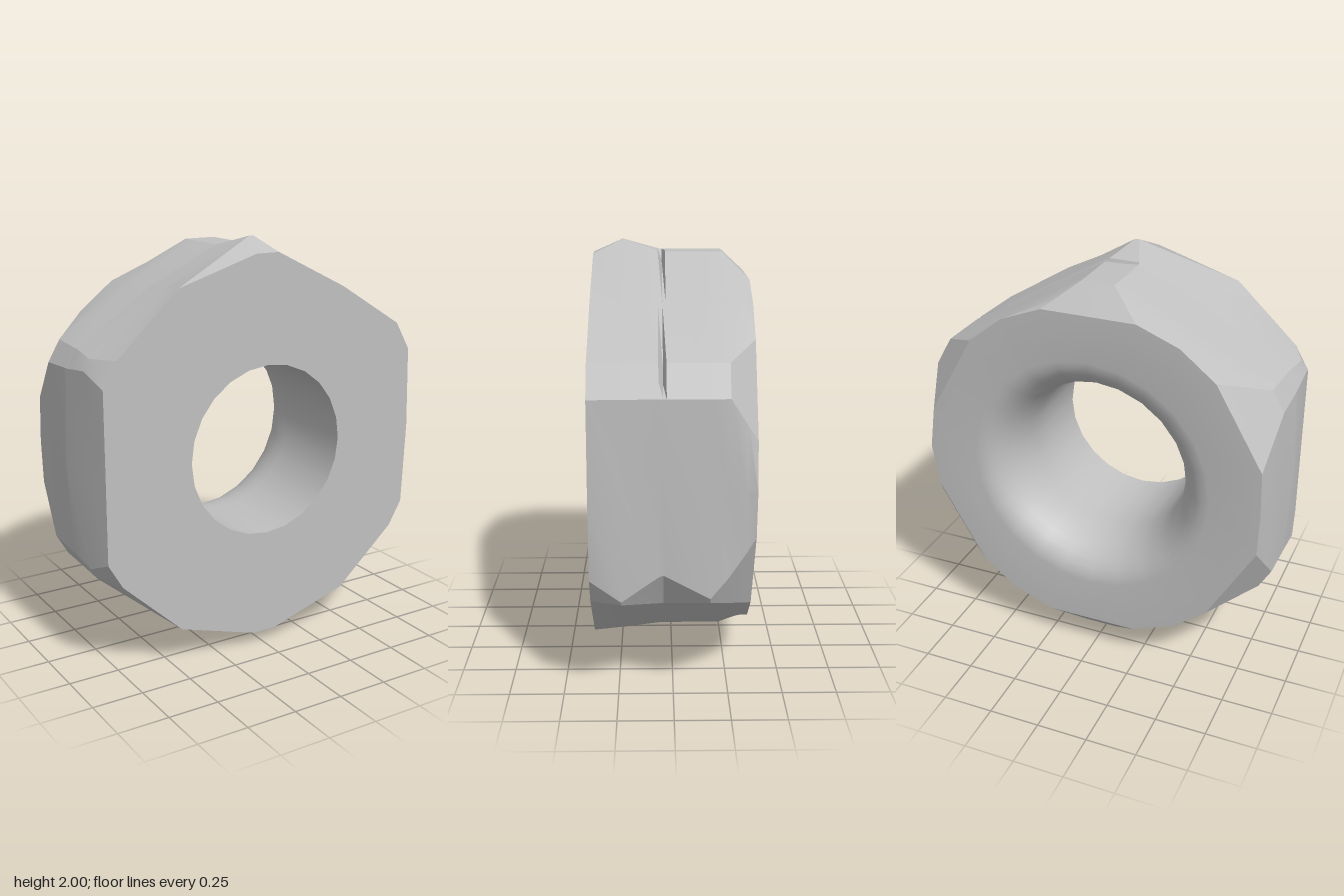
import * as THREE from 'three';
import { toCreasedNormals } from 'three/addons/utils/BufferGeometryUtils.js';

const rad = THREE.MathUtils.degToRad;

// Corner shapes along the depth: [z, reach from the axis, half width of the cut]
const PEAK = [[0.37, 0.935, 0.06], [0.23, 1, 0.01], [0.05, 0.945, 0.08], [-0.24, 0.945, 0.08], [-0.36, 0.83, 0.23]];
const BLUNT = [[0.37, 0.94, 0.08], [0.05, 0.95, 0.08], [-0.24, 0.95, 0.08], [-0.36, 0.83, 0.23]];
const WORN = [[0.37, 0.93, 0.07], [0.23, 0.98, 0.03], [0.05, 0.97, 0.05], [-0.15, 0.97, 0.05], [-0.36, 0.83, 0.23]];
const DENTED = [[0.37, 0.94, 0.07], [0.23, 1.01, 0.01], [0.05, 0.93, 0.1], [-0.17, 1, 0.01], [-0.32, 0.87, 0.18], [-0.36, 0.83, 0.23]];
const CORNERS = [BLUNT, PEAK, WORN, WORN, PEAK, DENTED]; // at 30, 90, ... 330 degrees

// Middle of the face before each corner: [z, radius]
const FLAT = [[0.37, 0.866], [-0.36, 0.866]];
const BULGED = [[0.37, 0.935], [0.05, 0.89], [-0.36, 0.866]];
const RIDGED = [[0.37, 0.84], [0.05, 0.89], [-0.36, 0.84]];
const MIDDLES = [FLAT, FLAT, BULGED, RIDGED, BULGED, BULGED];

// Linear lookup of one column in a table with falling z
function lookup(table, z, column) {
  const i = Math.max(1, table.findIndex(row => row[0] <= z));
  const a = table[i - 1], b = table[i];
  return a[column] + (b[column] - a[column]) * (a[0] - z) / (a[0] - b[0]);
}

// Point given by its reach along a direction and its sideways offset
function point(deg, reach, side, z) {
  const c = Math.cos(rad(deg)), s = Math.sin(rad(deg));
  return [reach * c - side * s, 1 + reach * s + side * c, z];
}

// Worn hexagon of 24 points; the groove lowers both ends of the upper right face
function outline(z, groove = 0) {
  const points = [];
  for (let k = 0; k < 6; k++) {
    const deg = 30 + 60 * k;
    const dip = k < 2 ? groove : 0;
    const reach = lookup(CORNERS[k], z, 1), width = lookup(CORNERS[k], z, 2);
    points.push(point(deg - 30, lookup(MIDDLES[k], z, 1), 0, z));
    points.push(point(deg, reach - (k === 1 ? dip : 0), -width, z));
    points.push(point(deg, reach - dip, 0, z));
    points.push(point(deg, reach - (k === 0 ? dip : 0), width, z));
  }
  return points;
}

// Ring of the bore, which sits slightly off centre
function circle(z, radius) {
  return Array.from({ length: 24 }, (_, i) => {
    const [x, y] = point(i * 15, radius, 0, z);
    return [x + 0.01, y, z];
  });
}

// Joins closed rings of equal length into one skin, sharp only at strong edges
function loft(rings, crease) {
  const n = rings[0].length, index = [];
  for (let k = 0; k < rings.length - 1; k++) {
    for (let i = 0; i < n; i++) {
      const a = k * n + i, b = k * n + (i + 1) % n;
      index.push(a, a + n, b, b, a + n, b + n);
    }
  }
  const geo = new THREE.BufferGeometry();
  geo.setAttribute('position', new THREE.Float32BufferAttribute(rings.flat(2), 3));
  geo.setIndex(index);
  return toCreasedNormals(geo, crease);
}

export function createModel() {
  const group = new THREE.Group();
  group.name = 'hexNut';
  const steel = new THREE.MeshStandardMaterial({ color: 0xc0c0c0 });
  steel.name = 'steelGrey';

  const add = (name, geo) => {
    const mesh = new THREE.Mesh(geo, steel);
    mesh.name = name;
    group.add(mesh);
  };

  // Outer sides with chamfered corners and a narrow tapering groove
  const depths = [0.37, 0.23, 0.065, 0.045, 0.03, -0.16, -0.24, -0.32, -0.36];
  add('outerSides', loft(depths.map(z => outline(z, z === 0.045 ? 0.05 : 0)), 0.4));

  // Flat front face around the hole
  add('frontFace', loft([circle(0.37, 0.416), outline(0.37)], 0.4));

  // Back face rolling smoothly into the bore
  const flare = [];
  for (let i = 0; i <= 8; i++) {
    const a = rad(90 * i / 8);
    flare.push(circle(-0.36 + 0.3 * (1 - Math.cos(a)), 0.416 + 0.19 * (1 - Math.sin(a))));
  }
  add('backFaceAndBore', loft([outline(-0.36), ...flare, circle(0.37, 0.416)], 0.6));

  return group;
}
